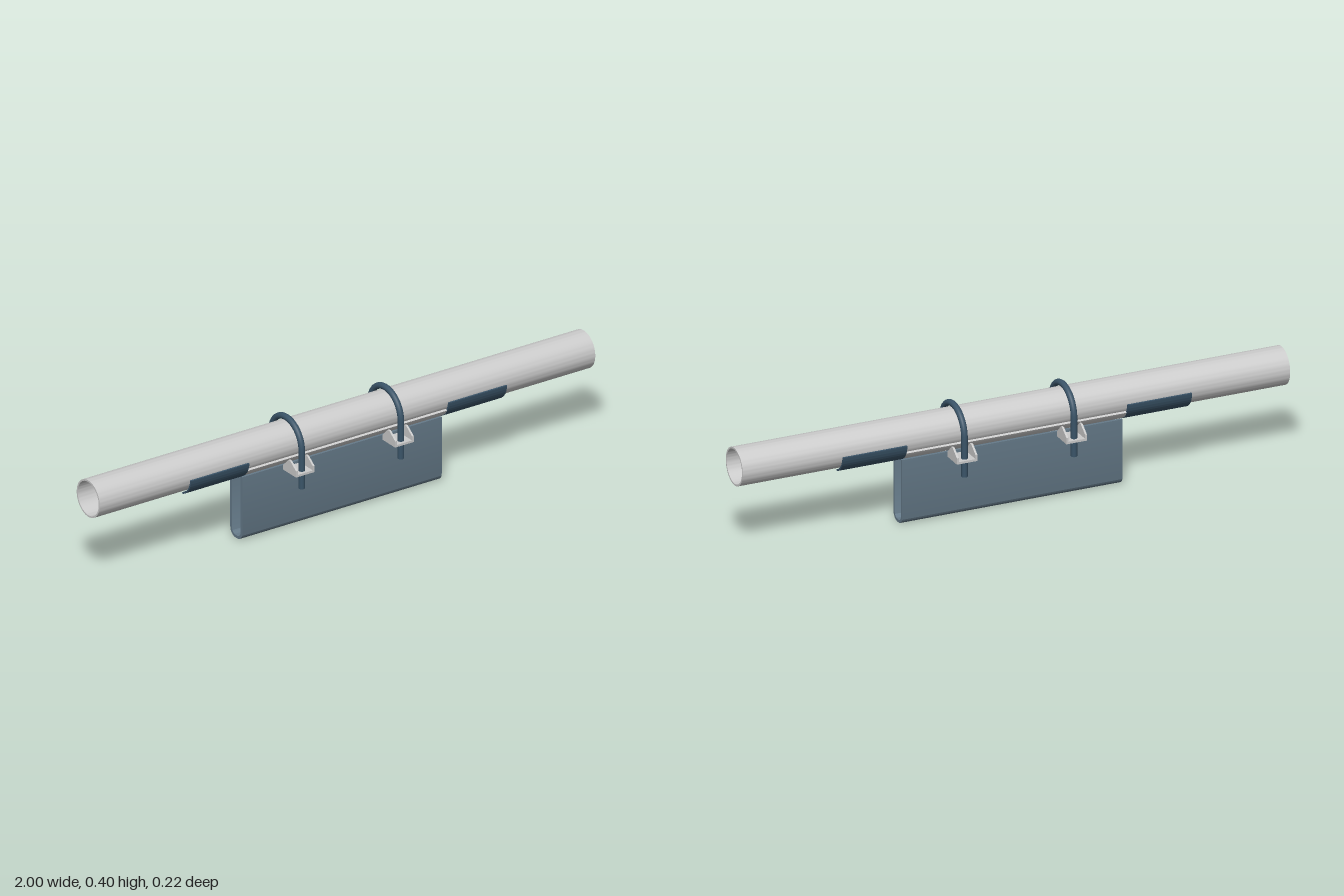
import * as THREE from 'three';
import { toCreasedNormals } from 'three/addons/utils/BufferGeometryUtils.js';

const PIPE_Y = 0.31;
const grey = new THREE.MeshStandardMaterial({ color: 0xcccccc });
const steel = new THREE.MeshStandardMaterial({ color: 0x657a89 });
const dark = new THREE.MeshStandardMaterial({ color: 0x3a5468 });

// Extrude a (z, y) section along x, centred on the given x
function alongX(shape, length, x = 0) {
  const g = new THREE.ExtrudeGeometry(shape, { depth: length, bevelEnabled: false, curveSegments: 32 });
  g.translate(0, 0, -length / 2);
  g.rotateY(-Math.PI / 2);
  g.translate(x, 0, 0);
  return toCreasedNormals(g, 0.6);
}

// Curved strip around the pipe axis; angles in degrees from straight down
function arcSection(inner, outer, from, to) {
  const a = THREE.MathUtils.degToRad(from - 90);
  const b = THREE.MathUtils.degToRad(to - 90);
  const s = new THREE.Shape();
  s.absarc(0, PIPE_Y, outer, a, b, false);
  s.absarc(0, PIPE_Y, inner, b, a, true);
  s.closePath();
  return s;
}

function polygon(points) {
  return new THREE.Shape(points.map(([z, y]) => new THREE.Vector2(z, y)));
}

// Open-topped channel with a rounded bottom
function channelSection() {
  const w = 0.035, t = 0.01, top = 0.237, r = 0.03;
  const s = new THREE.Shape();
  s.moveTo(-w, top);
  s.lineTo(-w, r);
  s.absarc(-w + r, r, r, Math.PI, Math.PI * 1.5, false);
  s.absarc(w - r, r, r, Math.PI * 1.5, Math.PI * 2, false);
  s.lineTo(w, top);
  s.lineTo(w - t, top);
  s.lineTo(w - t, r);
  s.absarc(w - r, r, r - t, 0, -Math.PI / 2, true);
  s.absarc(-w + r, r, r - t, -Math.PI / 2, -Math.PI, true);
  s.lineTo(-w + t, top);
  s.closePath();
  return s;
}

// Straight legs joined by a half circle
function uBoltGeometry() {
  const R = 0.089, y = 0.3, bottom = 0.163;
  const path = new THREE.CurvePath();
  const pts = [];
  for (let i = 0; i <= 5; i++) pts.push(new THREE.Vector3(0, bottom + (y - bottom) * i / 5, R));
  for (let i = 1; i < 24; i++) {
    const a = Math.PI * i / 24;
    pts.push(new THREE.Vector3(0, y + R * Math.sin(a), R * Math.cos(a)));
  }
  for (let i = 5; i >= 0; i--) pts.push(new THREE.Vector3(0, bottom + (y - bottom) * i / 5, -R));
  for (let i = 1; i < pts.length; i++) path.add(new THREE.LineCurve3(pts[i - 1], pts[i]));
  return new THREE.TubeGeometry(new THREE.CatmullRomCurve3(pts), 80, 0.011, 16);
}

export function createModel() {
  const model = new THREE.Group();
  model.name = 'clampedPipeSupport';
  const add = (name, geometry, material, parent = model) => {
    const mesh = new THREE.Mesh(geometry, material);
    mesh.name = name;
    parent.add(mesh);
    return mesh;
  };

  // Hollow pipe
  const ring = new THREE.Shape();
  ring.absarc(0, PIPE_Y, 0.067, 0, Math.PI * 2, false);
  const bore = new THREE.Path();
  bore.absarc(0, PIPE_Y, 0.061, 0, Math.PI * 2, true);
  ring.holes.push(bore);
  add('pipe', alongX(ring, 2), grey);

  // Shoe channel and the cradle strip on top of it
  add('channel', alongX(channelSection(), 0.805), steel);
  add('cradle', alongX(arcSection(0.068, 0.076, -61, 61), 0.805), grey);

  // Side wings hugging the pipe beyond both channel ends
  for (const x of [-0.52, 0.52]) {
    for (const side of [-1, 1]) {
      const section = side > 0 ? arcSection(0.071, 0.077, 20, 86) : arcSection(0.071, 0.077, -86, -20);
      add('saddleWing', alongX(section, 0.235, x), dark);
    }
  }

  // Clamps: bolt, lugs with paired gussets, and stiffeners inside the channel
  const stiffener = polygon([[-0.025, 0.034], [0, 0.012], [0.025, 0.034], [0.025, 0.233], [-0.025, 0.233]]);
  const boltGeometry = uBoltGeometry();
  for (const x of [-0.2, 0.2]) {
    const clamp = new THREE.Group();
    clamp.name = 'clamp';
    clamp.position.x = x;
    model.add(clamp);
    add('uBolt', boltGeometry, dark, clamp);
    for (const s of [-1, 1]) {
      const cap = add('boltEnd', new THREE.CircleGeometry(0.011, 16), dark, clamp);
      cap.rotation.x = Math.PI / 2;
      cap.position.set(0, 0.163, s * 0.089);

      const lug = add('lugPlate', new THREE.BoxGeometry(0.075, 0.008, 0.075), grey, clamp);
      lug.position.set(0, 0.224, s * 0.0725);

      const gusset = polygon([[0.035, 0.22], [0.11, 0.22], [0.11, 0.243], [0.076, 0.268], [0.066, 0.268], [0.035, 0.238]]
        .map(([z, y]) => [s * z, y]));
      for (const dx of [-0.034, 0.034]) add('gusset', alongX(gusset, 0.007, dx), grey, clamp);
    }
    for (const dx of [-0.034, 0.034]) add('stiffener', alongX(stiffener, 0.007, dx), grey, clamp);
  }

  return model;
}
